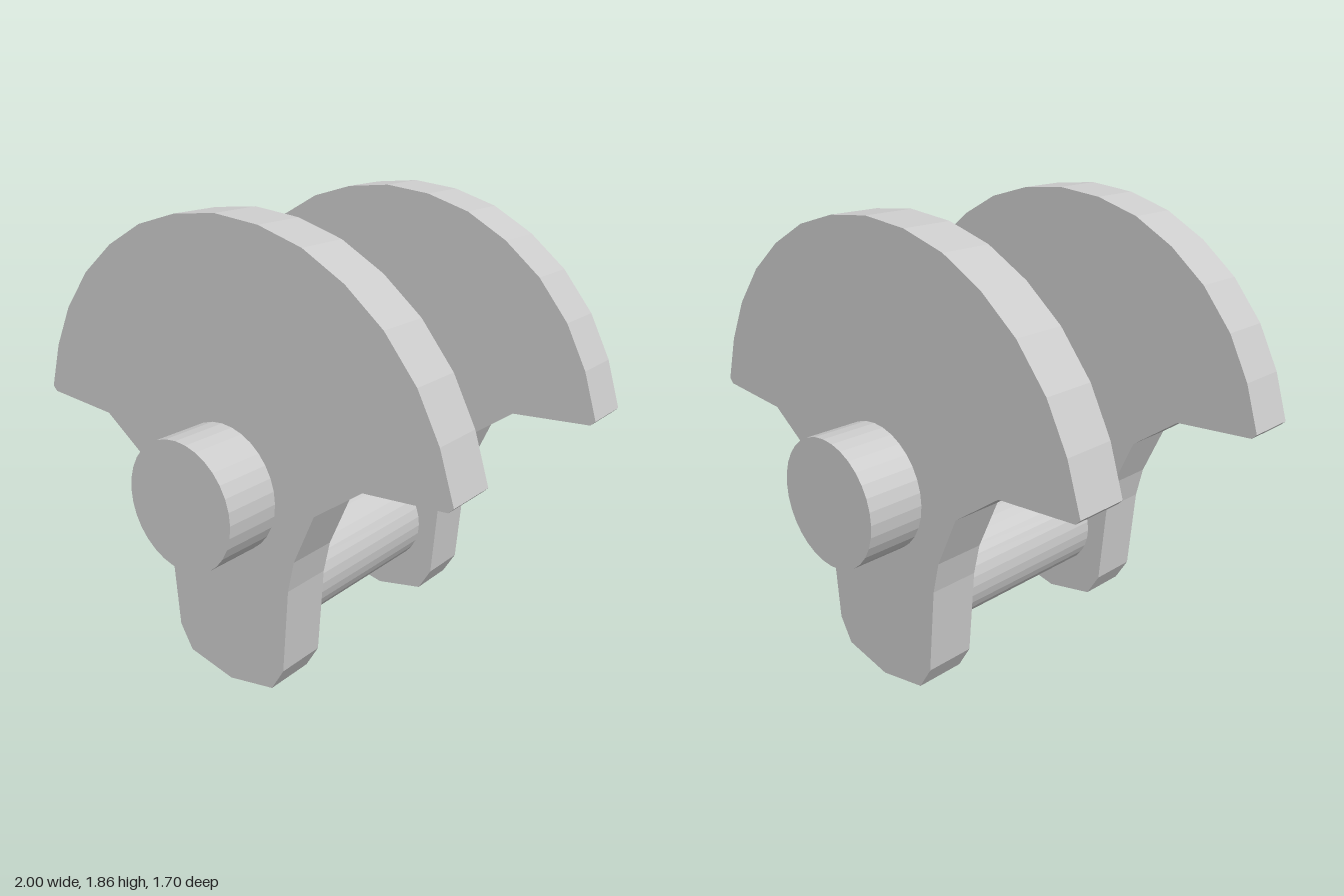
import * as THREE from 'three';

const material = new THREE.MeshStandardMaterial({ color: 0xcccccc, flatShading: true });

// Right-hand half of the web outline, bottom to top
const HALF_OUTLINE = [
  [0, 0], [0.22, 0.045], [0.28, 0.145], [0.31, 0.5], [0.34, 0.63], [0.435, 0.84],
  [0.645, 0.99], [0.98, 1.015], [1, 1.035], [0.94, 1.225], [0.85, 1.4],
  [0.72, 1.56], [0.565, 1.685], [0.39, 1.78], [0.2, 1.835], [0, 1.855],
];
const WEB_INNER = 0.405;
const WEB_OUTER = 0.615;
const JOURNAL_END = 0.848;

// Cylinder along z between z0 and z1
function shaft(name, radius, y, z0, z1) {
  const geometry = new THREE.CylinderGeometry(radius, radius, z1 - z0, 32);
  geometry.rotateX(Math.PI / 2);
  const mesh = new THREE.Mesh(geometry, material);
  mesh.name = name;
  mesh.position.set(0, y, (z0 + z1) / 2);
  return mesh;
}

// Counterweighted plate, mirrored about x = 0
function web(name, z) {
  const right = HALF_OUTLINE.map(([x, y]) => new THREE.Vector2(x, y));
  const left = HALF_OUTLINE.slice(1, -1).reverse().map(([x, y]) => new THREE.Vector2(-x, y));
  const geometry = new THREE.ExtrudeGeometry(new THREE.Shape([...right, ...left]), {
    depth: WEB_OUTER - WEB_INNER, bevelEnabled: false,
  });
  const mesh = new THREE.Mesh(geometry, material);
  mesh.name = name;
  mesh.position.z = z;
  return mesh;
}

export function createModel() {
  const group = new THREE.Group();
  group.name = 'crankshaft';

  // Counterweight webs
  group.add(web('frontWeb', WEB_INNER), web('backWeb', -WEB_OUTER));

  // Crank pin joining the webs
  group.add(shaft('crankPin', 0.21, 0.358, -WEB_INNER, WEB_INNER));

  // Main journals on the outer faces
  group.add(shaft('frontJournal', 0.254, 0.837, WEB_OUTER, JOURNAL_END));
  group.add(shaft('backJournal', 0.254, 0.837, -JOURNAL_END, -WEB_OUTER));

  return group;
}
